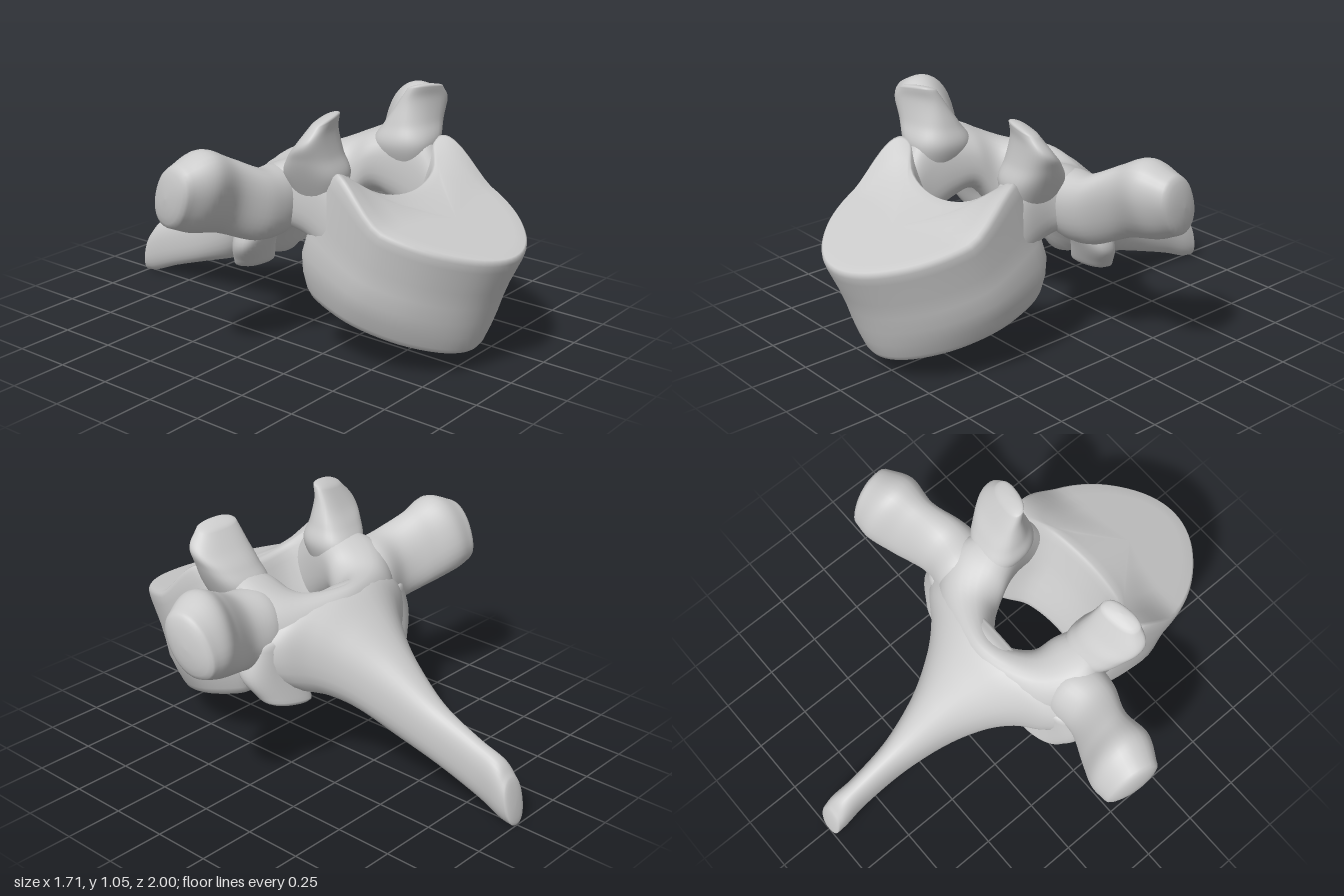
import * as THREE from 'three';

const V = (x, y, z) => new THREE.Vector3(x, y, z);
const { lerp, smoothstep } = THREE.MathUtils;
const material = new THREE.MeshStandardMaterial({ color: 0xcccccc });

// Skins a list of closed rings; winding is turned outward by signed volume.
function skin(rings) {
  const n = rings[0].length;
  const pts = rings.flat();
  const index = [];
  for (let r = 0; r < rings.length - 1; r++) {
    for (let i = 0; i < n; i++) {
      const a = r * n + i, b = r * n + (i + 1) % n;
      index.push(a, b, b + n, a, b + n, a + n);
    }
  }
  let volume = 0;
  for (let i = 0; i < index.length; i += 3) {
    volume += pts[index[i]].dot(V(0, 0, 0).crossVectors(pts[index[i + 1]], pts[index[i + 2]]));
  }
  if (volume < 0) index.reverse();
  const g = new THREE.BufferGeometry().setFromPoints(pts);
  g.setIndex(index);
  g.computeVertexNormals();
  return g;
}

// Smooth loft through sections [centre, half axis u, half axis v], with domed ends.
function loft(sections, { dome = 0.03, power = 2.4, steps = 7, sides = 32 } = {}) {
  const curves = [0, 1, 2].map(k =>
    new THREE.CatmullRomCurve3(sections.map(s => s[k]), false, 'catmullrom'));
  const bend = c => Math.sign(c) * Math.abs(c) ** (2 / power);
  const ring = (t, scale, push) => {
    const [c, u, v] = curves.map(curve => curve.getPoint(t));
    c.addScaledVector(curves[0].getTangent(t), push);
    return Array.from({ length: sides }, (_, i) => {
      const a = i / sides * Math.PI * 2;
      return c.clone().addScaledVector(u, scale * bend(Math.cos(a)))
        .addScaledVector(v, scale * bend(Math.sin(a)));
    });
  };
  const rings = [];
  const total = steps * (sections.length - 1);
  for (let k = 0; k < 5; k++) {
    const a = k / 5 * Math.PI / 2;
    rings.push(ring(0, Math.sin(a), -dome * Math.cos(a)));
  }
  for (let i = 0; i <= total; i++) rings.push(ring(i / total, 1, 0));
  for (let k = 4; k >= 0; k--) {
    const a = k / 5 * Math.PI / 2;
    rings.push(ring(1, Math.sin(a), dome * Math.cos(a)));
  }
  return skin(rings);
}

const flip = sections => sections.map(s => s.map(p => V(-p.x, p.y, p.z)));

// Vertebral body: kidney outline, sheared forward towards the top, narrower below.
function bodyGeometry() {
  const half = [[0.2, 0.465], [0.32, 0.39], [0.38, 0.44], [0.392, 0.62], [0.31, 0.81], [0.16, 0.955]];
  const outline = [[0, 0.495], ...half, [0, 1.005], ...half.map(([x, z]) => [-x, z]).reverse()];
  const curve = new THREE.CatmullRomCurve3(outline.map(([x, z]) => V(x, 0, z)), true, 'catmullrom');
  const plan = curve.getPoints(72).slice(0, -1);
  // [outline scale, height from bottom plate to top plate]
  const layers = [[0, 0], [0.3, 0], [0.6, 0], [0.92, 0], [0.97, 0.02], [0.995, 0.07], [1, 0.2],
    [0.99, 0.35], [0.975, 0.5], [0.975, 0.65], [1, 0.88], [1, 0.95], [0.985, 0.985], [0.955, 1],
    [0.8, 1], [0.6, 1], [0.3, 1], [0, 1]];
  return skin(layers.map(([s, h]) => plan.map(p => {
    const z = 0.72 + (p.z - 0.72) * s;
    const narrow = lerp(0.87, 1, smoothstep(h, 0, 0.4));
    const x = p.x * s * narrow;
    const back = 1 - smoothstep(z, 0.4, 0.65);
    const top = 0.53 + (1 - z) * 0.33 + 0.9 * x * x * back;
    const bottom = 0.085 + (1 - z) * 0.31;
    const bulge = 0.07 * Math.sin(Math.PI * h) * smoothstep(Math.abs(x), 0.15, 0.3) * back;
    return V(x, lerp(bottom, top, h), z - 0.18 * (1 - h) - bulge);
  })));
}

export function createModel() {
  const model = new THREE.Group();
  model.name = 'vertebra';
  const add = (name, geometry) => {
    const mesh = new THREE.Mesh(geometry, material);
    mesh.name = name;
    model.add(mesh);
  };
  const addPair = (name, sections, options) => {
    add('left' + name, loft(sections, options));
    add('right' + name, loft(flip(sections), options));
  };

  add('vertebralBody', bodyGeometry());

  // Pedicles and laminae as one horseshoe around the canal
  const side = [
    [V(0.29, 0.56, 0.47), V(0.06, 0, 0), V(0, 0.12, 0)],
    [V(0.3, 0.65, 0.36), V(0.08, 0, 0), V(0, 0.19, 0)],
    [V(0.29, 0.695, 0.24), V(0.1, 0, -0.01), V(0, 0.16, 0.01)],
    [V(0.29, 0.69, 0.11), V(0.14, 0, -0.04), V(0, 0.14, 0.01)],
    [V(0.2, 0.57, -0.02), V(0.09, 0, -0.08), V(0, 0.2, 0.01)],
  ];
  const middle = [V(0, 0.56, -0.09), V(0, 0, -0.075), V(0, 0.21, 0)];
  add('neuralArch', loft([...side, middle, ...flip(side).reverse()]));

  // Laminae tapering into the spinous process: [z, top, bottom, half width]
  const spine = [[-0.035, 0.75, 0.36, 0.43], [-0.085, 0.765, 0.335, 0.375], [-0.15, 0.745, 0.315, 0.285],
    [-0.25, 0.67, 0.275, 0.2], [-0.4, 0.55, 0.2, 0.122], [-0.6, 0.4, 0.13, 0.07],
    [-0.8, 0.31, 0.06, 0.054], [-0.92, 0.265, 0.01, 0.06], [-0.975, 0.205, 0, 0.058]];
  add('spinousProcess', loft(spine.map(([z, t, b, w]) =>
    [V(0, (t + b) / 2, z), V(w, 0, 0), V(0, (t - b) / 2, 0.02)]), { dome: 0.018, power: 2.3 }));

  // Transverse processes with swollen tips, tops leaning forward
  addPair('TransverseProcess', [
    [V(0.24, 0.67, 0.08), V(0, 0, 0.06), V(0, 0.09, 0.02)],
    [V(0.34, 0.665, 0.085), V(0, 0, 0.125), V(0, 0.145, 0.02)],
    [V(0.47, 0.672, 0.085), V(0, 0, 0.11), V(0, 0.155, 0.03)],
    [V(0.6, 0.73, 0.025), V(0, -0.02, 0.095), V(0, 0.16, 0.055)],
    [V(0.72, 0.77, 0), V(0.02, -0.03, 0.118), V(-0.01, 0.165, 0.065)],
    [V(0.815, 0.765, -0.025), V(0.02, -0.02, 0.095), V(0.01, 0.13, 0.055)],
  ], { dome: 0.035, power: 2.2 });

  // Upper joint plates, flaring outward
  addPair('SuperiorArticularProcess', [
    [V(0.29, 0.66, 0.26), V(0.06, 0, 0.01), V(0, 0.02, 0.1)],
    [V(0.3, 0.79, 0.26), V(0.12, 0, 0.01), V(0, 0.01, 0.135)],
    [V(0.33, 0.88, 0.275), V(0.128, 0, 0.015), V(0, 0.01, 0.1)],
    [V(0.352, 0.96, 0.3), V(0.122, -0.01, 0.02), V(0, 0.02, 0.066)],
    [V(0.335, 1.025, 0.325), V(0.09, -0.01, 0.015), V(0, 0.01, 0.042)],
  ], { dome: 0.022 });

  // Lower joint knobs under the laminae
  addPair('InferiorArticularProcess', [
    [V(0.33, 0.62, 0.03), V(0.13, 0, 0), V(0, 0, 0.09)],
    [V(0.375, 0.49, 0), V(0.125, 0, 0.02), V(0, 0.01, 0.075)],
    [V(0.33, 0.37, -0.045), V(0.12, 0.02, 0.02), V(0, 0.01, 0.06)],
  ], { dome: 0.035 });

  return model;
}
